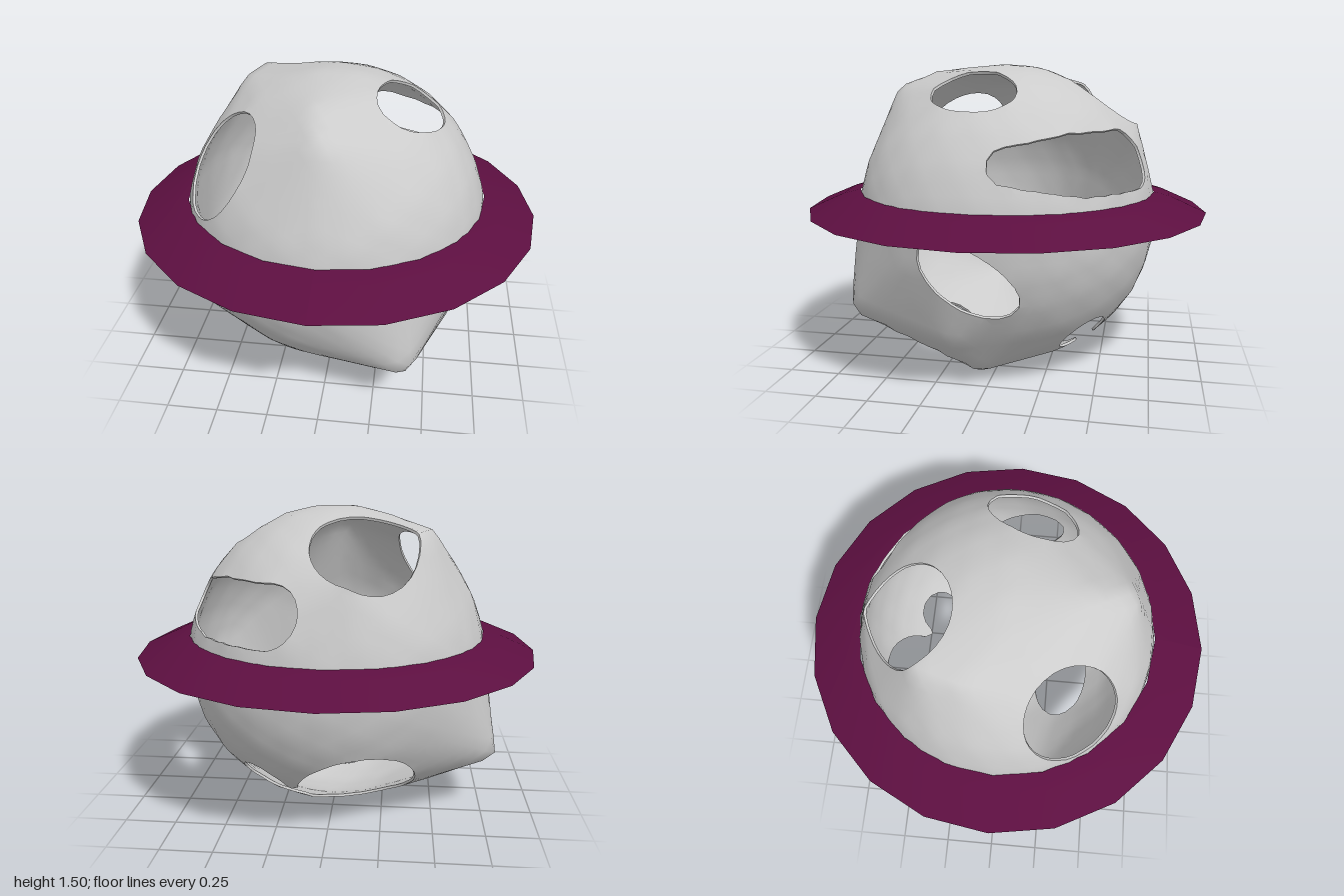
import * as THREE from 'three';
import { ConvexGeometry } from 'three/addons/geometries/ConvexGeometry.js';
import { mergeVertices } from 'three/addons/utils/BufferGeometryUtils.js';

const V = (x, y, z) => new THREE.Vector3(x, y, z);
const CENTRE = V(0, 0.76, 0);
const RADIUS = 0.755;
const WALL = 0.013;

// Calls back with the three corners of every triangle
function eachTriangle(geometry, callback) {
  const p = geometry.getAttribute('position');
  for (let i = 0; i < p.count; i += 3) callback([0, 1, 2].map(j => V().fromBufferAttribute(p, i + j)));
}

// Blunt corners that push the ball out of round, relative to its centre
const hullPoints = [
  V(-0.81, -0.45, -0.26),  // lower right, back
  V(-0.72, -0.51, 0.17),   // lower right, front
  V(0.41, -0.45, 0.71),    // lower front left
  V(0.45, -0.7, 0.05),     // underside, left
  V(0.61, -0.51, 0.15),    // lower left
  V(-0.47, 0.65, -0.17),   // crown, right
  V(-0.43, 0.65, -0.35),   // crown, back right
  V(0, 0.64, 0.57),        // crown, front
  V(-0.05, 0.715, 0.4),    // crown, front top
  V(-0.1, 0.46, -0.65),    // crown, back
];
eachTriangle(new THREE.IcosahedronGeometry(RADIUS, 4), tri => hullPoints.push(...tri));

// Planes of the taut skin over the ball and its corners
const planes = [];
eachTriangle(new ConvexGeometry(hullPoints), tri => {
  const plane = new THREE.Plane().setFromCoplanarPoints(...tri);
  if (plane.constant < -0.5) planes.push(plane);
});

// Elliptical openings: centre, long axis, half length and half width (unit sphere)
const holes = [];
function addHole(centre, axis, a, b) {
  const n = centre.normalize();
  const e1 = axis.addScaledVector(n, -axis.dot(n)).normalize();
  holes.push({ n, e1, e2: n.clone().cross(e1), a, b });
}
addHole(V(-0.52, 0.41, 0.35), V(0, 1, 0), 0.36, 0.31);      // upper front right
addHole(V(0.36, 0.62, 0.09), V(-0.45, 0.2, 1), 0.3, 0.22);  // crown, left
addHole(V(-0.15, 0.58, -0.43), V(0, 1, 0), 0.33, 0.31);     // crown, back
addHole(V(0.72, -0.18, 0.04), V(0, 0.54, 0.84), 0.34, 0.19); // left side
addHole(V(-0.13, -0.52, -0.46), V(0, 1, 0), 0.39, 0.37);    // lower back
addHole(V(0.3, -0.51, -0.42), V(0, 1, 0), 0.18, 0.16);      // lower back, left
addHole(V(0.18, -0.57, -0.41), V(0, 1, 0), 0.07, 0.07);     // gap joining the two
addHole(V(-0.01, -0.68, 0.34), V(1, 0, 0), 0.32, 0.22);     // lower front
// Long slot sweeping round the upper back left
for (let i = 0; i <= 8; i++) {
  const t = THREE.MathUtils.degToRad(11 + 57 * i / 8);
  const r = 0.12 + 0.08 * Math.min(1, i / 4);
  addHole(V(Math.cos(t) * 0.9, 0.43, -Math.sin(t) * 0.9), V(0, 1, 0), r, r);
}

// Where a ray from the centre meets the taut skin
function surfacePoint(d, inset) {
  let r = Infinity;
  for (const { normal, constant } of planes) {
    const slope = normal.dot(d);
    if (slope > 0) r = Math.min(r, -constant / slope);
  }
  return d.clone().multiplyScalar(r - inset).add(CENTRE);
}

// Negative inside an opening, positive on the wall
function wallField(d) {
  let f = 1;
  for (const { n, e1, e2, a, b } of holes) {
    if (d.dot(n) > 0) f = Math.min(f, (Math.hypot(d.dot(e1) / a, d.dot(e2) / b) - 1) * b);
  }
  return f;
}

function toGeometry(points) {
  const g = new THREE.BufferGeometry().setFromPoints(points);
  const merged = mergeVertices(g, 1e-4);
  merged.computeVertexNormals();
  return merged;
}

function buildShell() {
  const outer = [], inner = [], rim = [];
  eachTriangle(new THREE.IcosahedronGeometry(1, 15), tri => {
    const f = tri.map(wallField);
    const poly = [], cut = [];
    // Trim each triangle along the edge of the openings
    for (let j = 0; j < 3; j++) {
      const k = (j + 1) % 3;
      if (f[j] >= 0) poly.push(tri[j]);
      if ((f[j] >= 0) !== (f[k] >= 0)) {
        const p = tri[j].clone().lerp(tri[k], f[j] / (f[j] - f[k])).normalize();
        poly.push(p);
        if (f[j] >= 0) cut.unshift(p); else cut.push(p);
      }
    }
    const out = poly.map(d => surfacePoint(d, 0));
    const inn = poly.map(d => surfacePoint(d, WALL));
    for (let j = 1; j + 1 < poly.length; j++) {
      outer.push(out[0], out[j], out[j + 1]);
      inner.push(inn[0], inn[j + 1], inn[j]);
    }
    // Wall thickness round the opening
    if (cut.length === 2) {
      const [a, b] = cut.map(d => surfacePoint(d, 0));
      const [c, d] = cut.map(e => surfacePoint(e, WALL));
      rim.push(a, c, b, b, c, d);
    }
  });
  return { outer, inner, rim };
}

// Flared brim, lifted slightly at the front right
function buildBrim() {
  const profile = [[1, 0.79], [0.83, 0.866], [0.745, 0.887]].map(([r, y]) => new THREE.Vector2(r, y));
  const g = new THREE.LatheGeometry(profile, 20);
  const p = g.getAttribute('position');
  for (let i = 0; i < p.count; i++) {
    const lift = Math.max(0, p.getZ(i) * 0.9 - p.getX(i) * 0.4);
    p.setY(i, p.getY(i) + 0.018 * lift * lift);
  }
  g.computeVertexNormals();
  return g;
}

export function createModel() {
  const model = new THREE.Group();
  model.name = 'holedBallWithBrim';
  const grey = new THREE.MeshStandardMaterial({ color: 0xcccccc, side: THREE.DoubleSide });
  const purple = new THREE.MeshStandardMaterial({ color: 0x5c0f40, side: THREE.DoubleSide });
  const add = (name, geometry, material) => {
    const mesh = new THREE.Mesh(geometry, material);
    mesh.name = name;
    model.add(mesh);
  };

  const shell = buildShell();
  add('outerShell', toGeometry(shell.outer), grey);
  add('innerShell', toGeometry(shell.inner), grey);
  add('openingRims', toGeometry(shell.rim), grey);
  add('brim', buildBrim(), purple);
  return model;
}
